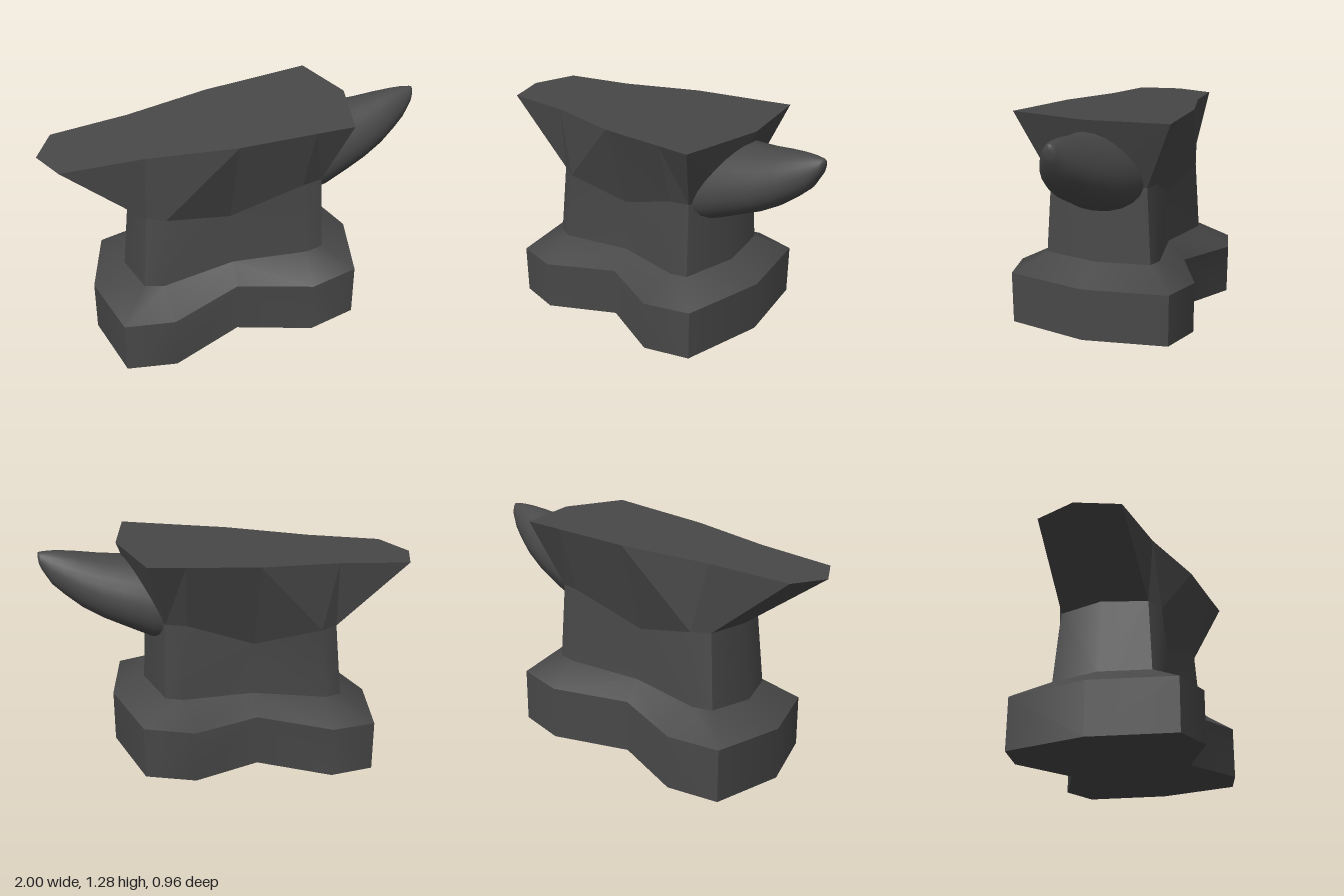
import * as THREE from 'three';
import { toCreasedNormals } from 'three/addons/utils/BufferGeometryUtils.js';

// Flat-faced band between two closed rings, with an optional cap.
function band(a, b, cap) {
  const pos = [];
  const tri = (...pts) => pts.forEach((p) => pos.push(...p));
  const n = a.length;
  for (let i = 0; i < n; i++) {
    const j = (i + 1) % n;
    // diagonals lean towards the waist, mirrored on all four quarters
    if (Math.floor(i / 3) % 2) {
      tri(a[i], a[j], b[i]);
      tri(a[j], b[j], b[i]);
    } else {
      tri(a[i], a[j], b[j]);
      tri(a[i], b[j], b[i]);
    }
  }
  if (cap) {
    const r = cap === 'top' ? b : [...a].reverse();
    const mid = [0, 1, 2].map((k) => (Math.min(...r.map((p) => p[k])) + Math.max(...r.map((p) => p[k]))) / 2);
    r.forEach((p, i) => tri(mid, p, r[(i + 1) % n]));
  }
  const g = new THREE.BufferGeometry();
  g.setAttribute('position', new THREE.Float32BufferAttribute(pos, 3));
  g.computeVertexNormals();
  return g;
}

// Mirrors the front half of an outline (left end to right end) to the back.
function ring(half) {
  const back = half.slice(1, -1).reverse().map(([x, y, z]) => [x, y, -z]);
  return [...half, ...back];
}

// Outline [x, z] laid on a plane that rises towards +x.
const tilted = (outline, y0, slope) => ring(outline.map(([x, z]) => [x, y0 + slope * x, z]));

// Horn: pear-shaped sections [x, bottom, top, half width] shrinking to the tip.
function hornGeometry(sections, sides) {
  const pos = [], index = [];
  sections.forEach(([x, lo, hi, w], s) => {
    for (let k = 0; k < sides; k++) {
      const t = (k / sides) * Math.PI * 2;
      const c = Math.cos(t);
      pos.push(x, (lo + hi) / 2 + ((hi - lo) / 2) * c, w * Math.sin(t) * (1 - 0.18 * c));
      if (s === 0) continue;
      const k2 = (k + 1) % sides;
      const a = (s - 1) * sides + k, b = (s - 1) * sides + k2;
      const d = s * sides + k, e = s * sides + k2;
      index.push(a, b, d);
      if (s < sections.length - 1) index.push(b, e, d);
    }
  });
  const g = new THREE.BufferGeometry();
  g.setAttribute('position', new THREE.Float32BufferAttribute(pos, 3));
  g.setIndex(index);
  g.computeVertexNormals();
  return g;
}

export function createModel() {
  const group = new THREE.Group();
  const iron = new THREE.MeshStandardMaterial({ color: 0x484848 });
  iron.name = 'darkIron';
  const add = (name, geometry) => {
    const mesh = new THREE.Mesh(geometry, iron);
    mesh.name = name;
    group.add(mesh);
  };

  const foot = [[-0.775, 0], [-0.675, 0.42], [-0.42, 0.48], [-0.05, 0.32], [0.32, 0.48], [0.57, 0.42], [0.665, 0]];
  const neckFoot = [[-0.6, 0], [-0.535, 0.255], [-0.44, 0.295], [-0.05, 0.23], [0.34, 0.3], [0.43, 0.28], [0.495, 0]];
  const plate = [[-1, 0], [-0.91, 0.215], [-0.5, 0.255], [-0.05, 0.355], [0.33, 0.384], [0.52, 0.4], [0.61, 0]];

  const footBottom = tilted(foot, 0.088, 0.113);
  const footTop = tilted(foot, 0.364, 0.112);
  const neckBottom = tilted(neckFoot, 0.465, 0.11);
  const neckTop = ring([
    [-0.56, 0.805, 0], [-0.505, 0.8, 0.23], [-0.41, 0.8, 0.275], [-0.06, 0.735, 0.21],
    [0.31, 0.9, 0.275], [0.415, 0.91, 0.255], [0.475, 0.915, 0],
  ]);
  const plateTop = tilted(plate, 1.209, 0.109);

  // Base and neck flow softly around their sides, with sharp end corners
  const crease = THREE.MathUtils.degToRad(50);
  add('base', toCreasedNormals(band(footBottom, footTop, 'bottom'), crease));
  add('baseChamfer', toCreasedNormals(band(footTop, neckBottom), crease));
  add('neck', toCreasedNormals(band(neckBottom, neckTop), crease));
  add('workingFace', band(neckTop, plateTop, 'top'));

  add('horn', hornGeometry([
    [0.4, 0.76, 1.19, 0.24], [0.47, 0.78, 1.2, 0.232], [0.6, 0.845, 1.212, 0.2], [0.7, 0.895, 1.225, 0.17],
    [0.8, 0.96, 1.243, 0.135], [0.88, 1.03, 1.255, 0.098], [0.94, 1.09, 1.26, 0.066],
    [0.985, 1.17, 1.258, 0.036], [0.995, 1.2, 1.256, 0.022], [0.998, 1.235, 1.235, 0],
  ], 24));

  return group;
}
